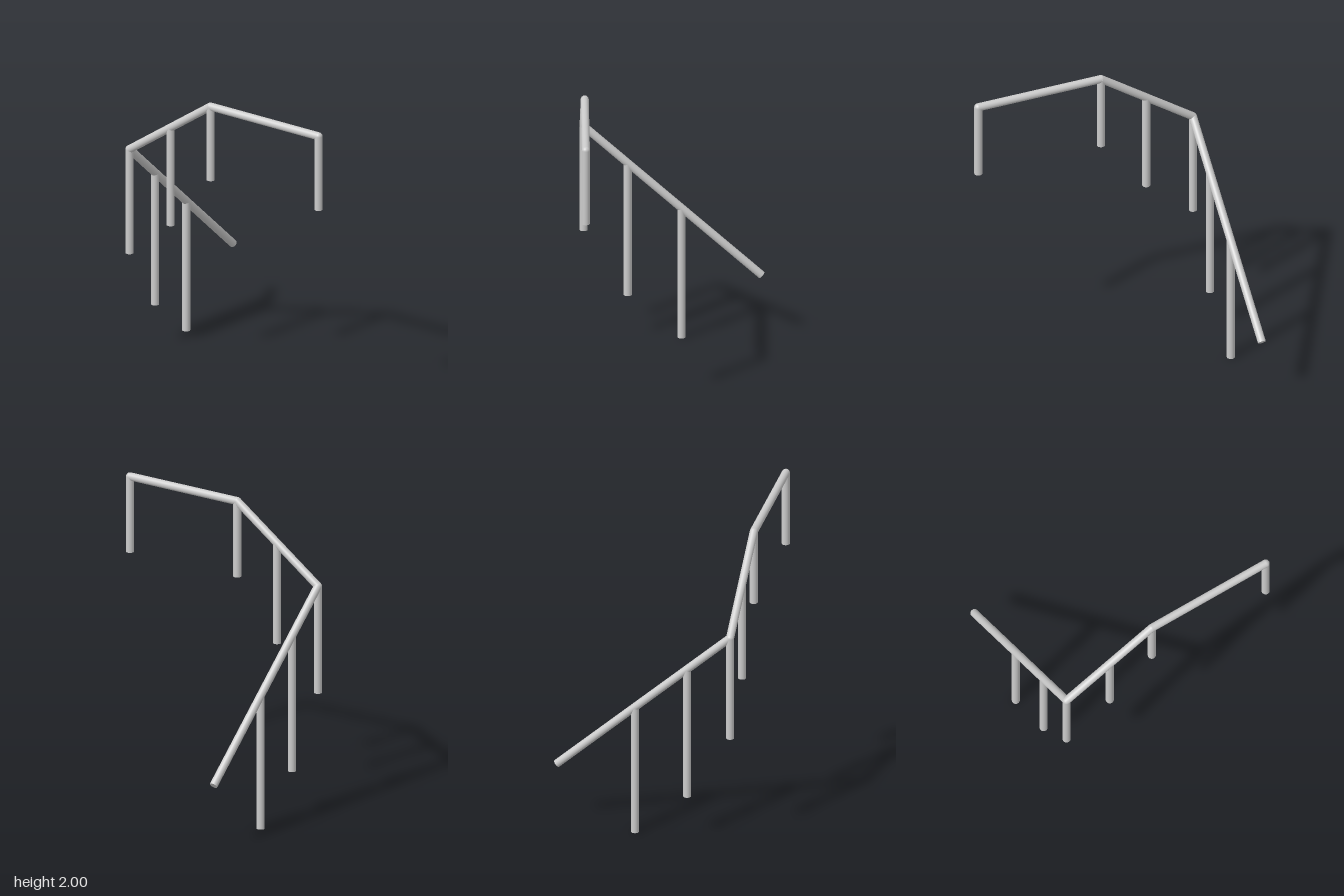
import * as THREE from 'three';

const RADIUS = 0.027;
const material = new THREE.MeshStandardMaterial({ color: 0xcccccc });

// Round bar between two points
function bar(name, a, b) {
  const dir = b.clone().sub(a);
  const mesh = new THREE.Mesh(new THREE.CylinderGeometry(RADIUS, RADIUS, dir.length(), 32), material);
  mesh.name = name;
  mesh.position.copy(a).add(b).multiplyScalar(0.5);
  mesh.quaternion.setFromUnitVectors(new THREE.Vector3(0, 1, 0), dir.normalize());
  return mesh;
}

// Rounded joint where two bars meet
function joint(name, p) {
  const mesh = new THREE.Mesh(new THREE.SphereGeometry(RADIUS, 32, 20), material);
  mesh.name = name;
  mesh.position.copy(p);
  return mesh;
}

export function createModel() {
  const group = new THREE.Group();
  group.name = 'stairHandrail';
  const v = (x, y, z) => new THREE.Vector3(x, y, z);

  // Rail path: level landing, upper flight, then lower flight turning to the back
  const end = v(0.766, 1.973, 0.58);
  const bend = v(-0.11, 1.973, 0.58);
  const corner = v(-0.767, 1.51, 0.582);
  const tail = v(-0.772, 0.44, -0.593);

  group.add(
    bar('landingRail', end, bend),
    bar('upperFlightRail', bend, corner),
    bar('lowerFlightRail', corner, tail),
    joint('landingEndJoint', end),
    joint('landingBendJoint', bend),
    joint('cornerJoint', corner)
  );

  // Posts: point on the rail and height of the foot
  const posts = [
    ['landingEndPost', end, 1.45],
    ['landingBendPost', bend, 1.45],
    ['upperFlightPost', bend.clone().lerp(corner, 0.493), 1.05],
    ['cornerPost', corner, 0.77],
    ['lowerFlightPostUpper', corner.clone().lerp(tail, 0.248), 0.305],
    ['lowerFlightPostLower', corner.clone().lerp(tail, 0.549), 0]
  ];
  for (const [name, top, foot] of posts) {
    group.add(bar(name, v(top.x, foot, top.z), top));
  }
  return group;
}
